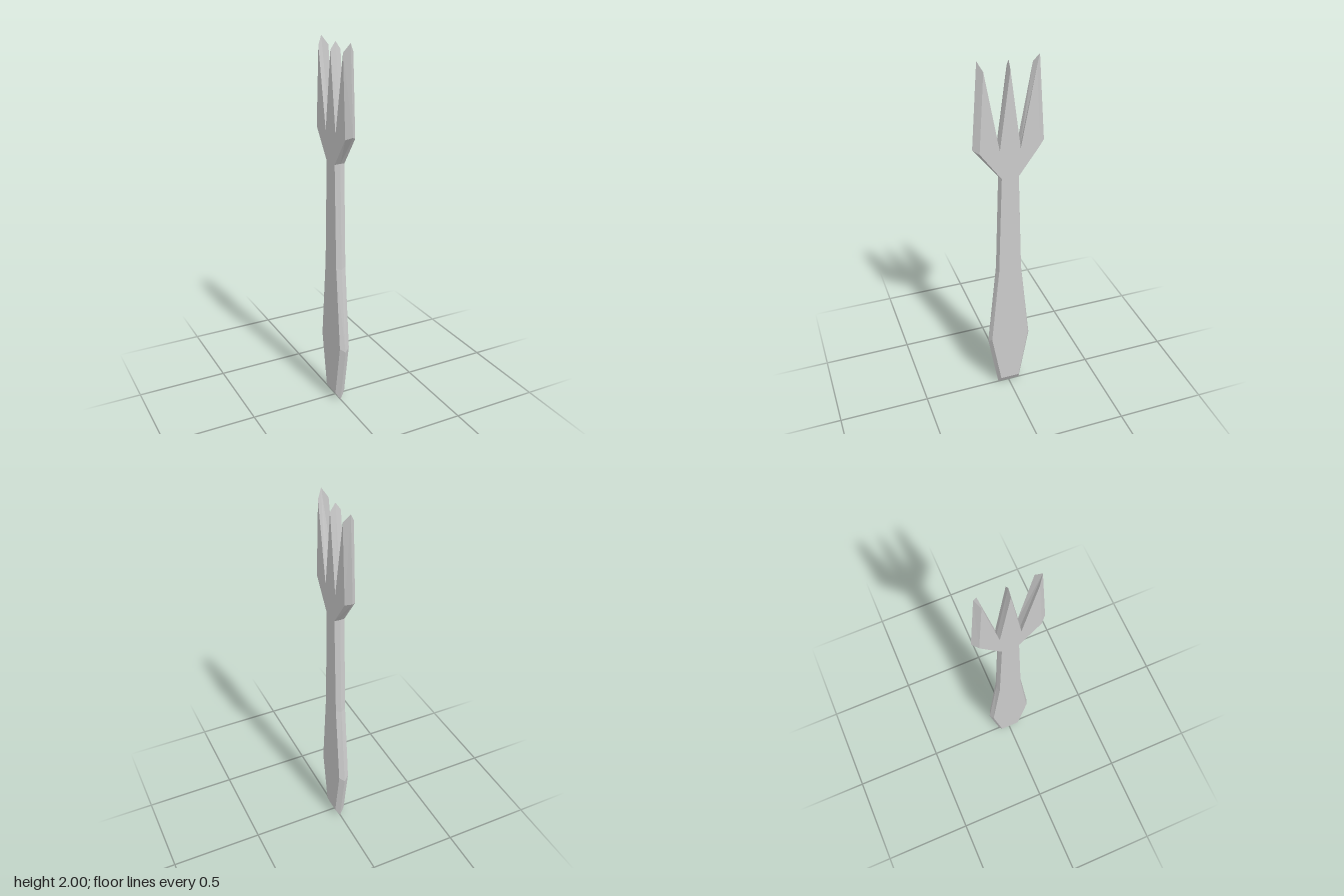
import * as THREE from 'three';

const HALF_THICKNESS = 0.0275;

// Half outline from the handle end up to the middle tine:
// [rim z, rim y, flat z, flat y]
const HALF = [
  [0.064, 0.0, 0.054, 0.045],   // handle end
  [0.122, 0.335, 0.107, 0.355], // widest point of the handle
  [0.072, 0.81, 0.062, 0.82],   // handle taper
  [0.055, 1.39, 0.045, 1.385],  // neck
  [0.186, 1.555, 0.157, 1.54],  // shoulder
  [0.155, 2.0, 0.131, 1.955],   // outer tine tip
  [0.061, 1.54, 0.054, 1.54],   // gap between tines
  [0, 1.99, 0, 1.95],           // middle tine tip
];

function forkGeometry() {
  const mirrored = HALF.slice(0, -1).reverse().map(([rz, ry, fz, fy]) => [-rz, ry, -fz, fy]);
  const loop = [...HALF, ...mirrored];
  const pos = [];
  const flatContour = loop.map(p => new THREE.Vector2(-p[2], p[3]));
  const flatFaces = THREE.ShapeUtils.triangulateShape(flatContour, []);

  for (const side of [1, -1]) {
    const rim = loop.map(p => [0, p[1], p[0]]);
    const flat = loop.map(p => [side * HALF_THICKNESS, p[3], p[2]]);
    const tri = (a, b, c) => pos.push(...a, ...(side > 0 ? b : c), ...(side > 0 ? c : b));

    // Flat cheek, each triangle turned to face outward
    for (const [i, j, k] of flatFaces) {
      const area = THREE.ShapeUtils.area([flatContour[i], flatContour[j], flatContour[k]]);
      if (area > 0) tri(flat[i], flat[j], flat[k]);
      else tri(flat[i], flat[k], flat[j]);
    }
    // Bevel from the central rim to the cheek
    for (let i = 0; i < loop.length; i++) {
      const j = (i + 1) % loop.length;
      tri(rim[i], flat[i], flat[j]);
      tri(rim[i], flat[j], rim[j]);
    }
  }

  const geometry = new THREE.BufferGeometry();
  geometry.setAttribute('position', new THREE.Float32BufferAttribute(pos, 3));
  geometry.computeVertexNormals();
  return geometry;
}

export function createModel() {
  const group = new THREE.Group();
  group.name = 'fork';
  const material = new THREE.MeshStandardMaterial({ color: 0xcccccc, flatShading: true });
  const body = new THREE.Mesh(forkGeometry(), material);
  body.name = 'forkBody';
  group.add(body);
  return group;
}
